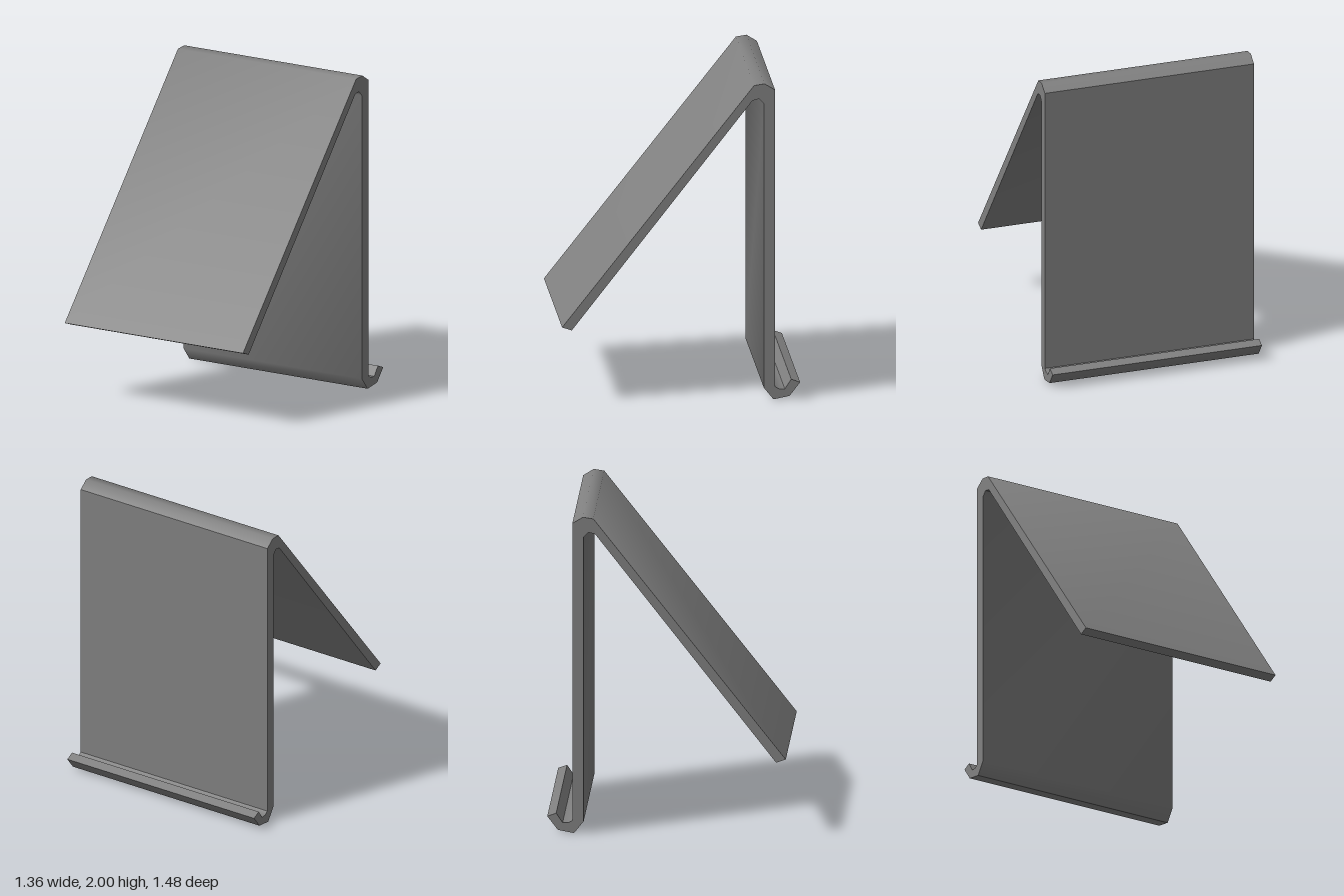
import * as THREE from 'three';
import { toCreasedNormals } from 'three/addons/utils/BufferGeometryUtils.js';

export function createModel() {
  const group = new THREE.Group();
  group.name = 'deskStand';
  const grey = new THREE.MeshStandardMaterial({ color: 0x808080 });
  grey.name = 'grey';

  // Side profile of the bent sheet as [z, y]
  const profile = [
    // tip of the sloping leg
    [0.74, 0.48], [0.68, 0.46],
    // inside of the top bend
    [-0.44, 1.895], [-0.48, 1.905], [-0.51, 1.875],
    // bottom bend and upturned lip
    [-0.51, 0.075], [-0.57, 0], [-0.67, 0.02], [-0.735, 0.105],
    [-0.68, 0.125], [-0.64, 0.065], [-0.605, 0.065], [-0.58, 0.08],
    // outside of the top bend
    [-0.58, 1.96], [-0.515, 2], [-0.45, 1.99],
  ];
  const shape = new THREE.Shape(profile.map(([z, y]) => new THREE.Vector2(-z, y)));

  // Sweep the profile across the width
  const width = 1.36;
  const geometry = new THREE.ExtrudeGeometry(shape, { depth: width, bevelEnabled: false });
  geometry.translate(0, 0, -width / 2);
  geometry.rotateY(Math.PI / 2);

  // Soft bends, sharp side edges
  const sheet = new THREE.Mesh(toCreasedNormals(geometry, 0.85), grey);
  sheet.name = 'bentSheet';
  group.add(sheet);
  return group;
}
